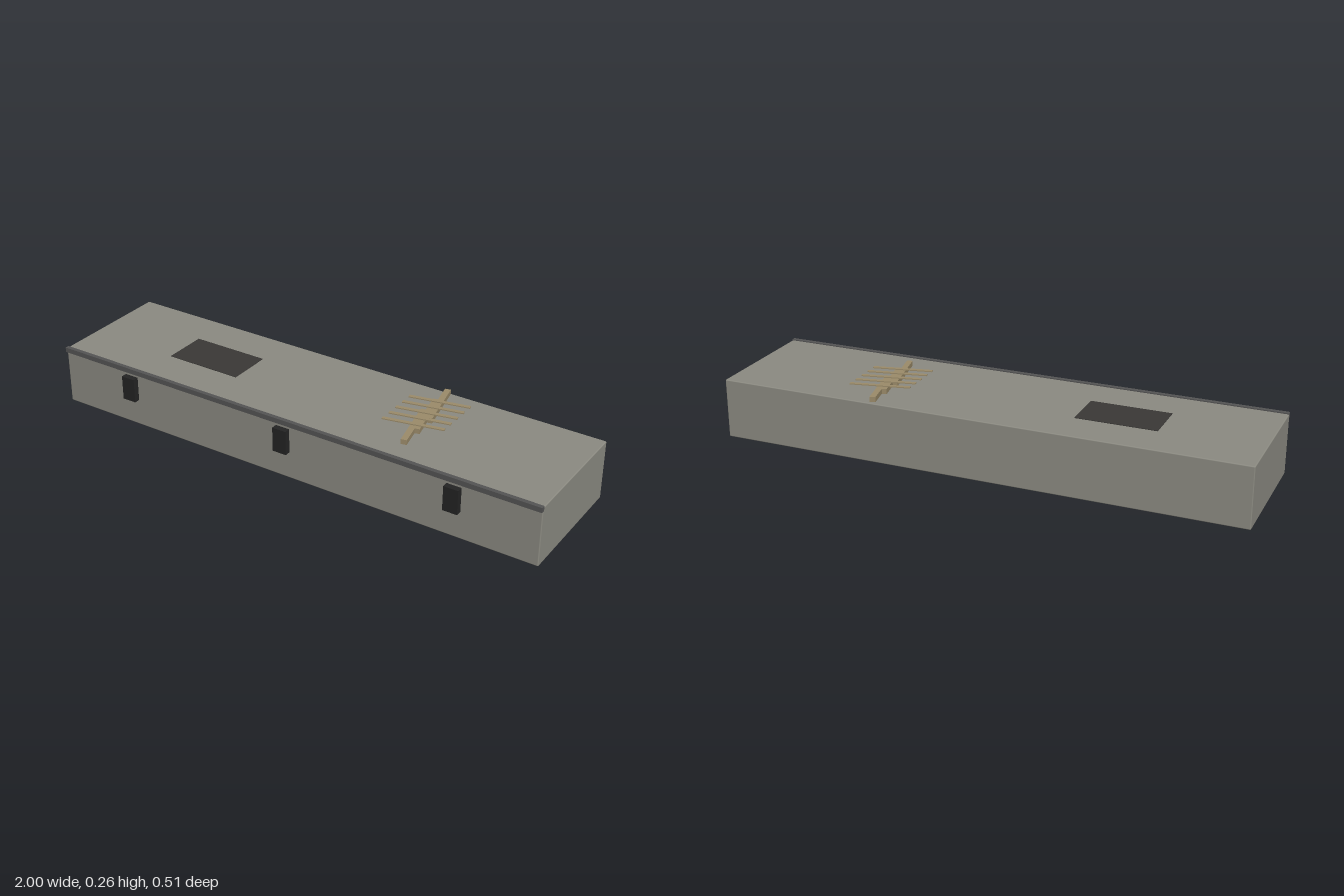
import * as THREE from 'three';
import { RoundedBoxGeometry } from 'three/addons/geometries/RoundedBoxGeometry.js';

const mat = (color) => new THREE.MeshStandardMaterial({ color });

export function createModel() {
  const model = new THREE.Group();
  const stone = mat(0x8c8b82), steel = mat(0x555555), rubber = mat(0x242424);
  const tar = mat(0x3a3836), wood = mat(0x9c8c6a);

  const add = (parent, name, geometry, material, x, y, z) => {
    const mesh = new THREE.Mesh(geometry, material);
    mesh.name = name;
    mesh.position.set(x, y, z);
    parent.add(mesh);
    return mesh;
  };
  const box = (w, h, d) => new THREE.BoxGeometry(w, h, d);

  // Quay block with slightly softened edges
  add(model, 'quayBlock', new RoundedBoxGeometry(2, 0.228, 0.491, 2, 0.004), stone, 0, 0.114, -0.0105);

  // Edge rail along the top of the front face
  add(model, 'edgeRail', box(2, 0.019, 0.016), steel, 0, 0.2225, 0.235);

  // Fenders on the front face
  for (const x of [-0.683, -0.001, 0.681])
    add(model, 'fender', box(0.056, 0.094, 0.026), rubber, x, 0.153, 0.245);

  // Dark patch let into the deck
  add(model, 'deckPatch', box(0.302, 0.006, 0.171), tar, -0.473, 0.2272, -0.0125);

  // Stacked timber: three overlapping beams crossed by five thin slats
  const timber = new THREE.Group();
  timber.name = 'timberStack';
  timber.position.set(0.413, 0, -0.049);
  model.add(timber);
  const turn = 0.21;
  for (let i = -1; i <= 1; i++)
    add(timber, 'beam', box(0.022, 0.019, 0.223), wood, 0, 0.2395, i * 0.0865).rotation.y = turn;
  for (let i = -2; i <= 2; i++)
    add(timber, 'slat', box(0.226, 0.004, 0.014), wood, 0, 0.2535, i * 0.046).rotation.y = turn;

  return model;
}
